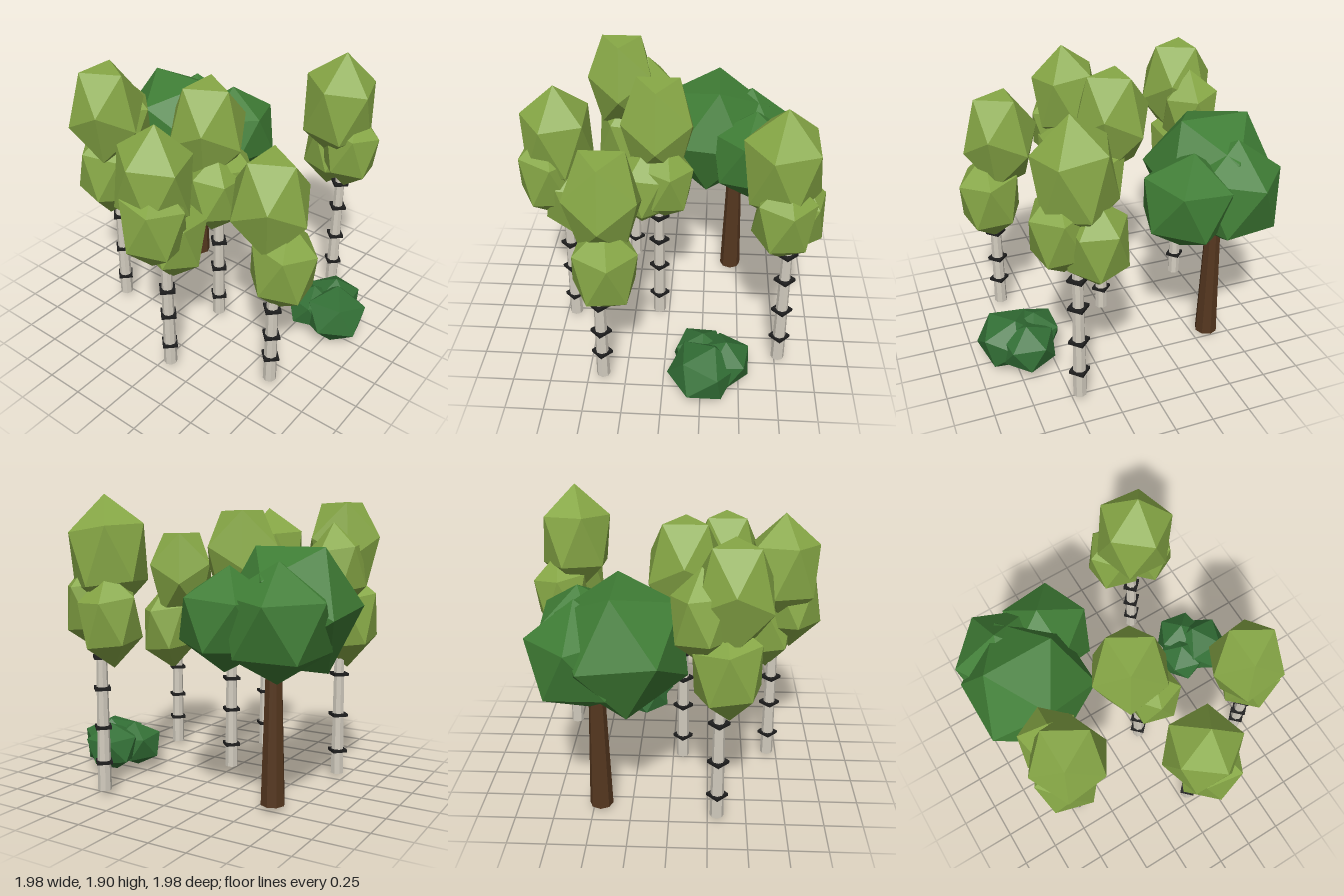
import * as THREE from 'three';

const material = (color) => new THREE.MeshStandardMaterial({ color, flatShading: true });
const BIRCH_LEAF = material(0x87a846);
const BROAD_LEAF = material(0x3f7d35);
const BUSH_LEAF = material(0x337036);
const BIRCH_BARK = material(0xd2ccbf);
const BROAD_BARK = material(0x55371f);
const RING = material(0x1e1e1e);

const POINTED = 0.55; // this tilt puts a corner on top, 0 puts an edge on top

function addMesh(group, name, geometry, mat, x, y, z) {
  const mesh = new THREE.Mesh(geometry, mat);
  mesh.name = name;
  mesh.position.set(x, y, z);
  group.add(mesh);
}

// Overlapping faceted clumps, each [x, y, z, radius]; the first sets the crown's top
function addLeaves(group, name, mat, stretch, topTilt, topSpin, clumps) {
  clumps.forEach(([x, y, z, r], i) => {
    const geometry = new THREE.IcosahedronGeometry(r, 0);
    geometry.rotateZ(i === 0 ? topTilt : POINTED);
    geometry.rotateX(i === 0 && topTilt === 0 && topSpin === 0 ? -0.35 : 0.1);
    geometry.rotateY(topSpin + i * 0.5);
    geometry.scale(1, stretch, 1);
    addMesh(group, name, geometry, mat, x, y, z);
  });
}

function addTrunk(group, name, mat, x, z, rTop, rBottom, height) {
  const geometry = new THREE.CylinderGeometry(rTop, rBottom, height, 8);
  addMesh(group, name, geometry, mat, x, 0.02 + height / 2, z);
}

// Pale trunk, square bark rings and a tall crown
function birch(x, z, rings, topTilt, clumps) {
  const tree = new THREE.Group();
  tree.name = 'birchTree';
  addTrunk(tree, 'birchTrunk', BIRCH_BARK, x, z, 0.03, 0.045, 1.2);
  for (const y of rings) {
    addMesh(tree, 'barkRing', new THREE.CylinderGeometry(0.07, 0.07, 0.02, 4), RING, x, y, z);
  }
  addLeaves(tree, 'birchLeaves', BIRCH_LEAF, 1.43, topTilt, 0, clumps);
  return tree;
}

// Brown trunk with a wide dark crown
function broadTree() {
  const tree = new THREE.Group();
  tree.name = 'broadTree';
  addTrunk(tree, 'broadTrunk', BROAD_BARK, 0.45, -0.6, 0.045, 0.077, 1.05);
  addLeaves(tree, 'broadLeaves', BROAD_LEAF, 1.02, 0, Math.PI / 2, [
    [0.28, 1.2, -0.63, 0.44],
    [0.52, 1.14, -0.66, 0.36],
    [0.56, 1.15, -0.34, 0.32],
  ]);
  return tree;
}

function bush() {
  const group = new THREE.Group();
  group.name = 'bush';
  addLeaves(group, 'bushLeaves', BUSH_LEAF, 0.84, 0.2, 0.6, [
    [0.26, 0.17, 0.77, 0.23],
    [0.39, 0.175, 0.68, 0.2],
    [0.24, 0.17, 0.6, 0.19],
  ]);
  return group;
}

export function createModel() {
  const model = new THREE.Group();
  model.name = 'grove';
  model.add(
    // back
    birch(-0.31, -0.7, [0.18, 0.43, 0.71], 0, [
      [-0.38, 1.55, -0.68, 0.26],
      [-0.2, 1.42, -0.71, 0.21],
      [-0.35, 1.09, -0.72, 0.24],
    ]),
    // right
    birch(-0.68, 0.06, [0.185, 0.435, 0.64], POINTED, [
      [-0.72, 1.45, 0.03, 0.26],
      [-0.78, 1.21, 0.07, 0.23],
      [-0.62, 1.03, 0.08, 0.22],
    ]),
    // middle
    birch(-0.07, 0, [0.18, 0.43, 0.65, 0.845], 0, [
      [-0.08, 1.49, -0.08, 0.27],
      [-0.02, 1.14, 0.03, 0.2],
      [-0.17, 1.1, 0.04, 0.2],
    ]),
    // front
    birch(-0.4, 0.68, [0.215, 0.395, 0.61], 0, [
      [-0.36, 1.34, 0.61, 0.26],
      [-0.35, 0.93, 0.71, 0.23],
    ]),
    // left
    birch(0.77, 0.45, [0.205, 0.435, 0.685, 0.885], POINTED, [
      [0.7, 1.51, 0.43, 0.27],
      [0.72, 1.21, 0.53, 0.21],
      [0.81, 1.13, 0.34, 0.21],
    ]),
    broadTree(),
    bush(),
  );
  return model;
}
